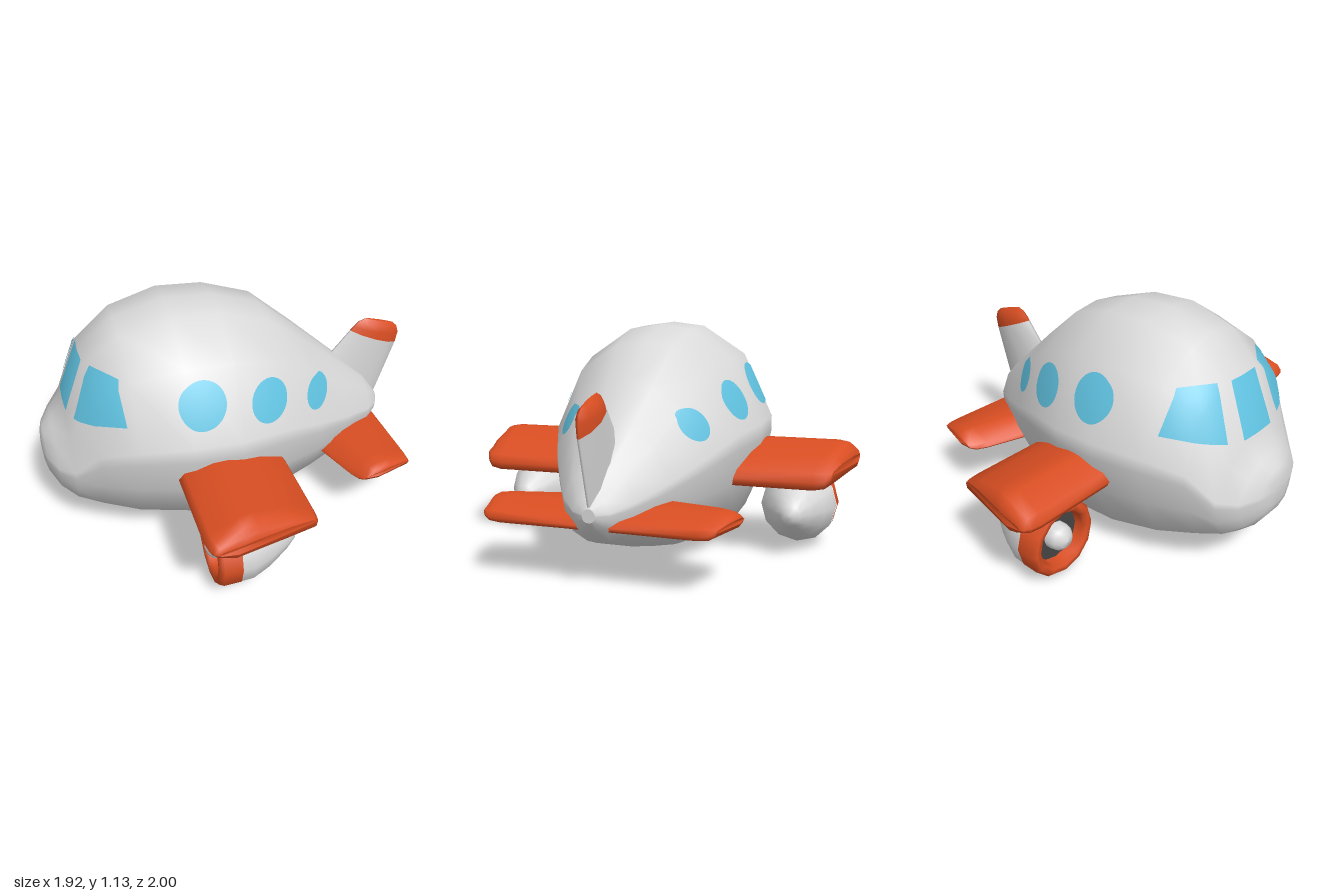
import * as THREE from 'three';

const mat = (name, color, side = THREE.FrontSide) => {
  const m = new THREE.MeshStandardMaterial({ color, side });
  m.name = name;
  return m;
};

const INSIDE = new THREE.Vector3(-0.2, 0.5, 0); // reference point for face direction

// Indexed geometry whose faces are turned outward
function outward(points, index) {
  let volume = 0;
  const [a, b, c] = [0, 1, 2].map(() => new THREE.Vector3());
  for (let i = 0; i < index.length; i += 3) {
    a.subVectors(points[index[i]], INSIDE);
    b.subVectors(points[index[i + 1]], INSIDE);
    c.subVectors(points[index[i + 2]], INSIDE);
    volume += a.dot(b.cross(c));
  }
  if (volume < 0) index.reverse();
  const g = new THREE.BufferGeometry().setFromPoints(points);
  g.setIndex(index);
  g.computeVertexNormals();
  return g;
}

// Skin over closed rings of points, with flat end caps
function loft(rings) {
  const n = rings[0].length, points = rings.flat(), index = [];
  for (let r = 0; r < rings.length - 1; r++) {
    for (let i = 0; i < n; i++) {
      const a = r * n + i, b = r * n + (i + 1) % n;
      index.push(a, b, a + n, b, b + n, a + n);
    }
  }
  for (const [ring, flip] of [[rings[0], true], [rings[rings.length - 1], false]]) {
    const start = points.length;
    const centre = ring.reduce((s, p) => s.add(p), new THREE.Vector3()).divideScalar(n);
    points.push(...ring.map(p => p.clone()), centre);
    for (let i = 0; i < n; i++) {
      const a = start + i, b = start + (i + 1) % n;
      index.push(...(flip ? [b, a, start + n] : [a, b, start + n]));
    }
  }
  return outward(points, index);
}

// Fuselage: one cross-section scaled along x
function fuselageGeometry() {
  const half = [[0, 0], [0.33, 0], [0.75, 0.12], [0.93, 0.32], [1, 0.49], [1, 0.56], [0.72, 0.85], [0.31, 0.98], [0, 1]];
  const section = [...half, ...half.slice(1, -1).reverse().map(([w, h]) => [-w, h])];
  const stations = [ // x, bottom, top, half width
    [-0.962, 0.41, 0.44, 0.02], [-0.958, 0.35, 0.49, 0.075], [-0.945, 0.3, 0.53, 0.13], [-0.9, 0.235, 0.58, 0.23],
    [-0.83, 0.18, 0.66, 0.31], [-0.72, 0.12, 0.94, 0.39], [-0.55, 0.065, 1.075, 0.48], [-0.31, 0.02, 1.135, 0.542],
    [-0.08, 0, 1.12, 0.535], [0.16, 0.035, 1.04, 0.475], [0.38, 0.085, 0.85, 0.375], [0.58, 0.135, 0.67, 0.265],
    [0.75, 0.195, 0.52, 0.165], [0.83, 0.26, 0.41, 0.085], [0.86, 0.305, 0.365, 0.03],
  ];
  return loft(stations.map(([x, lo, hi, w]) =>
    section.map(([sw, sh]) => new THREE.Vector3(x, lo + (hi - lo) * sh, w * sw))));
}

// Thin pane laid on a body: fn(u, v) gives points, dropped along -dir
function paneGeometry(body, fn, nu, nv, dir) {
  const ray = new THREE.Raycaster();
  const points = [], normals = [], index = [];
  for (let j = 0; j <= nv; j++) {
    for (let i = 0; i <= nu; i++) {
      const p = fn(i / nu, j / nv);
      ray.set(p.clone().addScaledVector(dir, 1.5), dir.clone().negate());
      const hit = ray.intersectObject(body)[0];
      const normal = hit ? hit.normal.clone().normalize() : dir.clone();
      points.push((hit ? hit.point.clone() : p).addScaledVector(normal, 0.005));
      normals.push(normal.x, normal.y, normal.z);
      if (i < nu && j < nv) {
        const a = j * (nu + 1) + i, b = a + nu + 1;
        index.push(a, a + 1, b, a + 1, b + 1, b);
      }
    }
  }
  const g = outward(points, index);
  g.setAttribute('normal', new THREE.Float32BufferAttribute(normals, 3));
  return g;
}

// Wing with a rounded, slanted tip; chord(z) scales it toward the trailing edge
function wingGeometry(profile, root, tip, chord, side) {
  const xs = profile.map(p => p[0]), ys = profile.map(p => p[1]);
  const back = Math.max(...xs), cx = (back + Math.min(...xs)) / 2;
  const cy = (Math.max(...ys) + Math.min(...ys)) / 2;
  const steps = [[null, 1, 1], [0.09, 1, 1], [0.035, 0.97, 0.9], [0.008, 0.91, 0.6], [0, 0.85, 0.25]];
  return loft(steps.map(([inset, sx, sy]) => profile.map(([x, y]) => {
    const z = inset === null ? root : tip(x) - inset;
    const px = cx + (x - cx) * sx;
    return new THREE.Vector3(back - (back - px) * chord(z), cy + (y - cy) * sy, z * side);
  })));
}

// Tail fin slice: lens sections between leading and trailing points
function finGeometry(slices) {
  const lens = [[0, 0.12], [0.2, 0.75], [0.5, 1], [0.8, 0.75], [1, 0.12]];
  const outline = [...lens, ...lens.map(([t, w]) => [t, -w]).reverse()];
  return loft(slices.map(([x0, y0, x1, y1, thick]) => outline.map(([t, w]) =>
    new THREE.Vector3(x0 + (x1 - x0) * t, y0 + (y1 - y0) * t, thick * w))));
}

export function createModel() {
  const white = mat('white paint', 0xd9d9d9);
  const orange = mat('orange paint', 0xd94e22);
  const glass = mat('blue glass', 0x5fc0de);
  const dark = mat('dark intake', 0x444444);

  const model = new THREE.Group();
  model.name = 'airplane';
  const add = (name, geometry, material, parent = model) => {
    const mesh = new THREE.Mesh(geometry, material);
    mesh.name = name;
    parent.add(mesh);
    return mesh;
  };

  const fuselage = add('fuselage', fuselageGeometry(), white);

  // Windscreen and windows
  const V = (x, y, z) => new THREE.Vector3(x, y, z);
  const quad = (a, b, c, d) => (u, v) => a.clone().lerp(b, u).lerp(d.clone().lerp(c, u), v);
  add('windscreen', paneGeometry(fuselage, quad(V(-0.83, 0.67, -0.105), V(-0.83, 0.67, 0.105),
    V(-0.72, 0.925, 0.09), V(-0.72, 0.925, -0.09)), 12, 12, V(-1, 0, 0)), glass);
  const discs = [[-0.25, 0.817, 0.11, 0.105], [0.075, 0.758, 0.095, 0.095], [0.367, 0.668, 0.072, 0.075]];

  // Airfoil outlines
  const wingProfile = [[-0.385, 0.455], [-0.36, 0.5], [-0.23, 0.545], [-0.16, 0.545], [0.01, 0.5], [0.14, 0.43],
    [0.162, 0.39], [0.155, 0.355], [0, 0.362], [-0.28, 0.378], [-0.37, 0.425]];
  const tailProfile = [[0.44, 0.275], [0.46, 0.292], [0.51, 0.335], [0.57, 0.352], [0.66, 0.345], [0.8, 0.305],
    [0.822, 0.278], [0.81, 0.258], [0.55, 0.258], [0.45, 0.262]];
  const wingTip = x => 1 - 0.2 * Math.max(0, x + 0.27);
  const tailTip = x => 0.59 - 0.2 * Math.max(0, x - 0.55);

  // Engine outlines (radius, distance along the axle)
  const P = list => list.map(([r, x]) => new THREE.Vector2(r, x));
  const cowl = P([[0.128, -0.2], [0.132, -0.285], [0.148, -0.305], [0.172, -0.305], [0.19, -0.285], [0.19, -0.2]]);
  const pod = P([[0.188, -0.2], [0.186, -0.14], [0.15, -0.05], [0.09, 0.05], [0.05, 0.1], [0.025, 0.117], [0, 0.12]]);
  const spinner = P([[0, -0.328], [0.035, -0.318], [0.058, -0.295], [0.066, -0.265], [0.066, -0.22]]);
  const intake = P([[0, -0.24], [0.132, -0.24]]);

  for (const [side, label] of [[1, 'left'], [-1, 'right']]) {
    add(label + 'CockpitWindow', paneGeometry(fuselage, quad(V(-0.79, 0.68, 0.19 * side), V(-0.585, 0.735, 0.41 * side),
      V(-0.59, 0.925, 0.3 * side), V(-0.7, 0.93, 0.16 * side)), 14, 14, V(-0.7, 0.25, 0.65 * side).normalize()), glass);
    discs.forEach(([x, y, rx, ry], i) => add(label + 'CabinWindow' + (i + 1), paneGeometry(fuselage, (u, v) =>
      V(x + rx * v * Math.cos(u * 2 * Math.PI), y + ry * v * Math.sin(u * 2 * Math.PI), 0.3 * side),
      32, 7, V(0, 0, side)), glass));

    add(label + 'Wing', wingGeometry(wingProfile, 0.3, wingTip, () => 1, side), orange);
    add(label + 'Tailplane', wingGeometry(tailProfile, 0.04, tailTip, z => 1 + (0.35 - z) * 0.87, side), orange);

    const engine = new THREE.Group();
    engine.name = label + 'Engine';
    engine.position.set(0, 0.21, 0.715 * side);
    engine.rotation.z = -Math.PI / 2;
    add('cowl', new THREE.LatheGeometry(cowl, 12), orange, engine);
    add('pod', new THREE.LatheGeometry(pod, 12), white, engine);
    add('intake', new THREE.LatheGeometry(intake, 12), dark, engine);
    add('spinner', new THREE.LatheGeometry(spinner, 12), white, engine);
    model.add(engine);
  }

  // Tail fin and its painted tip
  add('tailFin', finGeometry([[0.42, 0.5, 0.83, 0.31, 0.045], [0.58, 0.665, 0.86, 0.38, 0.045],
    [0.68, 0.782, 0.948, 0.67, 0.045]]), white);
  add('tailFinTip', finGeometry([[0.68, 0.782, 0.948, 0.67, 0.045], [0.698, 0.803, 0.957, 0.73, 0.042],
    [0.722, 0.827, 0.945, 0.768, 0.03], [0.76, 0.841, 0.92, 0.792, 0.01]]), orange);

  return model;
}
